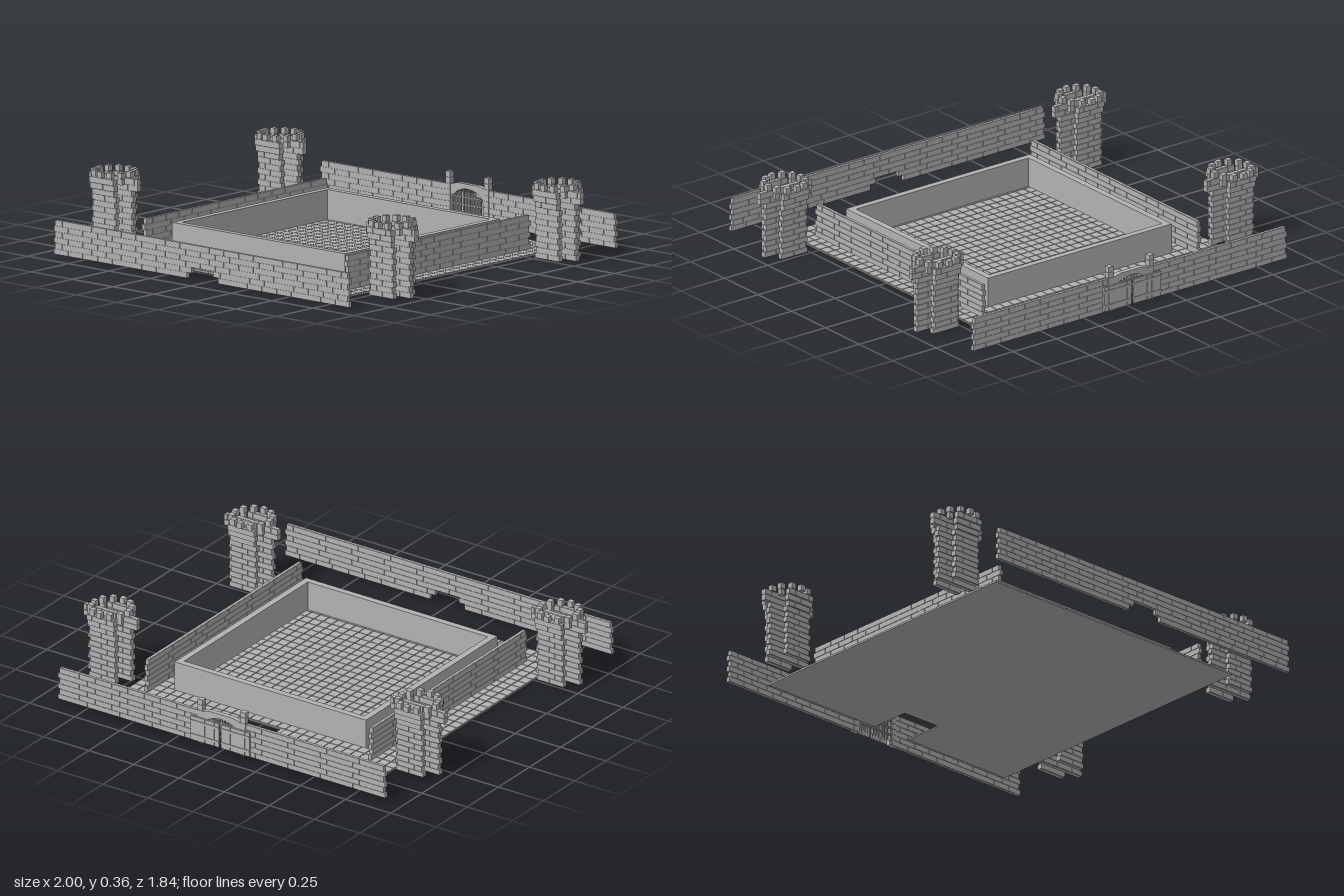
import * as THREE from 'three';
import { mergeGeometries } from 'three/addons/utils/BufferGeometryUtils.js';

const stone = new THREE.MeshStandardMaterial({ color: 0xb2b2b2 });
stone.name = 'grey stone';

// Box given by its minimum and maximum corners
function block(x0, x1, y0, y1, z0, z1) {
  return new THREE.BoxGeometry(x1 - x0, y1 - y0, z1 - z0)
    .translate((x0 + x1) / 2, (y0 + y1) / 2, (z0 + z1) / 2);
}

function part(name, geometries) {
  const mesh = new THREE.Mesh(mergeGeometries(geometries), stone);
  mesh.name = name;
  return mesh;
}

// One course of bricks along x, centred on z = 0, over a thinner mortar core
function course(list, x0, x1, y0, y1, depth, shift, brick = 0.09, z = 0) {
  const gap = 0.0012;
  list.push(block(x0 + 0.003, x1 - 0.003, y0, y1, z - depth * 0.36, z + depth * 0.36));
  let a = x0;
  let b = x0 + brick * (shift ? 0.5 : 1);
  while (a < x1 - 0.001) {
    if (b > x1 - 0.02) b = x1;
    list.push(block(a + gap, b - gap, y0 + gap, y1 - gap, z - depth / 2, z + depth / 2));
    a = b;
    b += brick;
  }
}

// Wall of staggered courses; opening(row) gives the half width of a central gap
function wall(name, x0, x1, opening = () => 0) {
  const list = [], rows = 6, bottom = 0.01, step = 0.16 / rows;
  for (let r = 0; r < rows; r++) {
    const inset = r % 2 ? 0.009 : 0;
    const y = bottom + r * step;
    const half = opening(r);
    const runs = half ? [[x0 + inset, -half], [half, x1 - inset]] : [[x0 + inset, x1 - inset]];
    for (const [a, b] of runs) course(list, a, b, y, y + step, 0.018, r % 2);
  }
  return part(name, list);
}

// Tiled floor with a notch behind the gate
function floor() {
  const list = [
    block(-0.76, 0.71, 0, 0.006, -0.58, 0.74),
    block(-0.76, -0.10, 0, 0.006, -0.78, -0.58),
    block(0.11, 0.71, 0, 0.006, -0.78, -0.58),
  ];
  const nx = 30, nz = 30, dx = 1.47 / nx, dz = 1.52 / nz, g = 0.002;
  for (let i = 0; i < nx; i++) {
    for (let j = 0; j < nz; j++) {
      const x = -0.76 + i * dx, z = -0.78 + j * dz;
      if (j < 4 && x + dx / 2 > -0.10 && x + dx / 2 < 0.11) continue;
      list.push(block(x + g, x + dx - g, 0.002, 0.01, z + g, z + dz - g));
    }
  }
  return part('tiledFloor', list);
}

// Low rectangular curb around the courtyard
function curb() {
  const t = 0.032, h = 0.15;
  return part('courtyardCurb', [
    block(-0.535, 0.525, 0.008, h, -0.525, -0.525 + t),
    block(-0.535, 0.525, 0.008, h, 0.53 - t, 0.53),
    block(-0.535, -0.535 + t, 0.008, h, -0.525 + t, 0.53 - t),
    block(0.525 - t, 0.525, 0.008, h, -0.525 + t, 0.53 - t),
  ]);
}

// Tower: three parallel slabs, a flared head and a ring of battlements
function tower(x, z) {
  const group = new THREE.Group();
  group.name = 'tower';
  const centre = [], outer = [], head = [], ring = [];
  const rows = 10, step = 0.0265;
  for (let r = 0; r < rows; r++) {
    const y = 0.01 + r * step, inset = r % 2 ? 0.008 : 0;
    course(centre, -0.123 + inset, 0.123 - inset, y, y + step, 0.025, r % 2);
    for (const s of [-1, 1]) {
      const flare = r === rows - 1 ? 0.007 : 0;
      course(outer, -0.075 + inset, 0.075 - inset, y, y + step, 0.025, r % 2, 0.08, s * (0.0625 + flare));
    }
  }
  for (let r = 0; r < 2; r++) {
    const y = 0.275 + r * 0.0285;
    course(head, -0.15, 0.15, y, y + 0.0285, 0.025, r, 0.08);
    for (const s of [-1, 1]) {
      course(head, -0.075, 0.075, y, y + 0.0285, 0.025, r, 0.08, s * (0.075 + r * 0.006));
    }
  }
  for (let i = 0; i < 12; i++) {
    const a = (i / 12) * Math.PI * 2;
    const cx = Math.cos(a) * 0.094, cz = Math.sin(a) * 0.094;
    ring.push(block(cx - 0.013, cx + 0.013, 0.335, 0.363, cz - 0.013, cz + 0.013));
    // Corbels carrying the battlements between the slabs
    if (i % 3) ring.push(block(cx - 0.013, cx + 0.013, 0.305, 0.333, cz - 0.01, cz + 0.01));
  }
  group.add(part('towerCentreSlab', centre), part('towerOuterSlabs', outer),
    part('towerHead', head), part('battlements', ring));
  group.position.set(x, 0, z);
  return group;
}

// Gate: arch, posts, portcullis and a pair of doors
function gate() {
  const group = new THREE.Group();
  group.name = 'gate';

  const arch = new THREE.Shape();
  arch.moveTo(-0.13, 0.01);
  arch.lineTo(-0.13, 0.165);
  arch.lineTo(-0.065, 0.183);
  arch.lineTo(0.065, 0.183);
  arch.lineTo(0.13, 0.165);
  arch.lineTo(0.13, 0.01);
  arch.lineTo(0.095, 0.01);
  arch.lineTo(0.095, 0.1);
  arch.quadraticCurveTo(0.085, 0.155, 0, 0.16);
  arch.quadraticCurveTo(-0.085, 0.155, -0.095, 0.1);
  arch.lineTo(-0.095, 0.01);
  const frame = new THREE.ExtrudeGeometry(arch, { depth: 0.024, bevelEnabled: false, curveSegments: 8 });
  group.add(part('gateArch', [frame.translate(0, 0, -0.911)]));

  const posts = [];
  for (const x of [-0.119, 0.117]) {
    for (let r = 0; r < 8; r++) {
      const y = 0.01 + r * 0.0275;
      posts.push(block(x - 0.014, x + 0.014, y, y + 0.0262, -0.911, -0.884));
    }
  }
  group.add(part('gatePosts', posts));

  const bars = [];
  for (let i = -5; i <= 5; i++) {
    const x = i * 0.0175, top = 0.158 - 0.04 * (i / 5) ** 2;
    bars.push(block(x - 0.003, x + 0.003, 0.025, top, -0.886, -0.878));
    bars.push(new THREE.ConeGeometry(0.004, 0.012, 4).rotateX(Math.PI).translate(x, 0.019, -0.882));
  }
  for (const y of [0.05, 0.085, 0.12]) bars.push(block(-0.095, 0.095, y, y + 0.006, -0.884, -0.875));
  group.add(part('portcullis', bars));

  const doors = [];
  for (const s of [-1, 1]) {
    for (let i = 0; i < 6; i++) {
      const x = s * (0.018 + i * 0.0265);
      doors.push(block(x - 0.0127, x + 0.0127, 0.02, 0.14, -0.922, -0.913));
    }
    for (const y of [0.04, 0.11]) {
      doors.push(block(s * 0.084 - 0.079, s * 0.084 + 0.079, y, y + 0.012, -0.925, -0.92));
    }
  }
  group.add(part('gateDoors', doors));
  return group;
}

export function createModel() {
  const model = new THREE.Group();
  model.name = 'fortress';
  model.add(floor(), curb(), gate());

  // Front wall with a stepped notch, back wall open at the gate
  const front = wall('frontWall', -0.912, 0.9, (r) => [0.095, 0.065][r] || 0);
  front.position.z = 0.91;
  const back = wall('backWall', -0.905, 0.908, () => 0.115);
  back.position.z = -0.897;
  model.add(front, back);

  for (const x of [-0.622, 0.618]) {
    const side = wall('sideWall', -0.63, 0.62);
    side.rotation.y = Math.PI / 2;
    side.position.x = x;
    model.add(side);
  }

  for (const x of [-0.85, 0.85]) {
    for (const z of [-0.558, 0.57]) model.add(tower(x, z));
  }
  return model;
}
